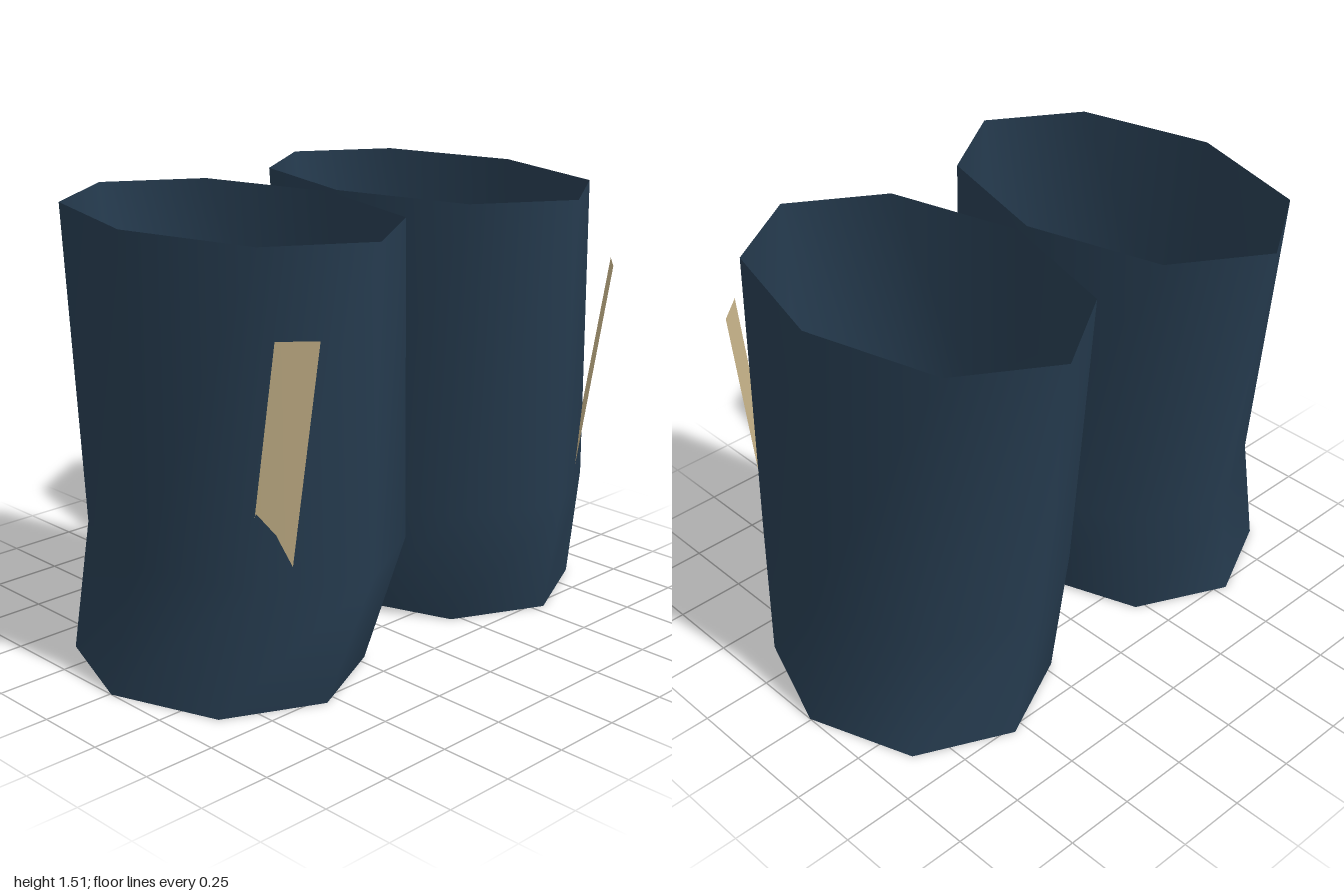
import * as THREE from 'three';
import { mergeVertices } from 'three/addons/utils/BufferGeometryUtils.js';

// Cross-sections from bottom to top: height, centre x, centre z, radius x, radius z
const RINGS = [
  { y: 0, cx: 0.542, cz: 0.005, rx: 0.458, rz: 0.528 },
  { y: 0.44, cx: 0.462, cz: 0.058, rx: 0.468, rz: 0.597 },
  { y: 1.51, cx: 0.461, cz: 0.002, rx: 0.442, rz: 0.676 },
];

// Open eight-sided tube, bent at the middle ring
function legGeometry(side) {
  const geo = new THREE.CylinderGeometry(1, 1, 2, 8, RINGS.length - 1, true);
  geo.deleteAttribute('uv');
  geo.deleteAttribute('normal');
  const p = geo.attributes.position;
  for (let i = 0; i < p.count; i++) {
    const r = RINGS[Math.round(p.getY(i) + 1)];
    p.setXYZ(i, side * r.cx + p.getX(i) * r.rx, r.y, r.cz + p.getZ(i) * r.rz);
  }
  const merged = mergeVertices(geo, 1e-4);
  merged.computeVertexNormals();
  return merged;
}

// Flat slanted strip whose lower end sinks inside the leg
function stripGeometry(side) {
  const corners = [
    [0.69, 0.16, 0.477], [0.79, 0.16, 0.387],
    [0.79, 1.25, 0.573], [0.69, 1.25, 0.66],
  ];
  const geo = new THREE.BufferGeometry();
  geo.setAttribute('position', new THREE.Float32BufferAttribute(
    corners.flatMap(([x, y, z]) => [side * x, y, z]), 3));
  geo.setIndex(side > 0 ? [0, 1, 2, 0, 2, 3] : [0, 2, 1, 0, 3, 2]);
  geo.computeVertexNormals();
  return geo;
}

export function createModel() {
  const navy = new THREE.MeshStandardMaterial({ color: 0x263c50, side: THREE.DoubleSide });
  navy.name = 'navy cloth';
  const tan = new THREE.MeshStandardMaterial({ color: 0xc8b48a, side: THREE.DoubleSide });
  tan.name = 'tan strip';

  const model = new THREE.Group();
  model.name = 'trouserLegs';
  for (const [side, label] of [[1, 'left'], [-1, 'right']]) {
    const leg = new THREE.Mesh(legGeometry(side), navy);
    leg.name = label + 'Leg';
    const strip = new THREE.Mesh(stripGeometry(side), tan);
    strip.name = label + 'Strip';
    model.add(leg, strip);
  }
  return model;
}
